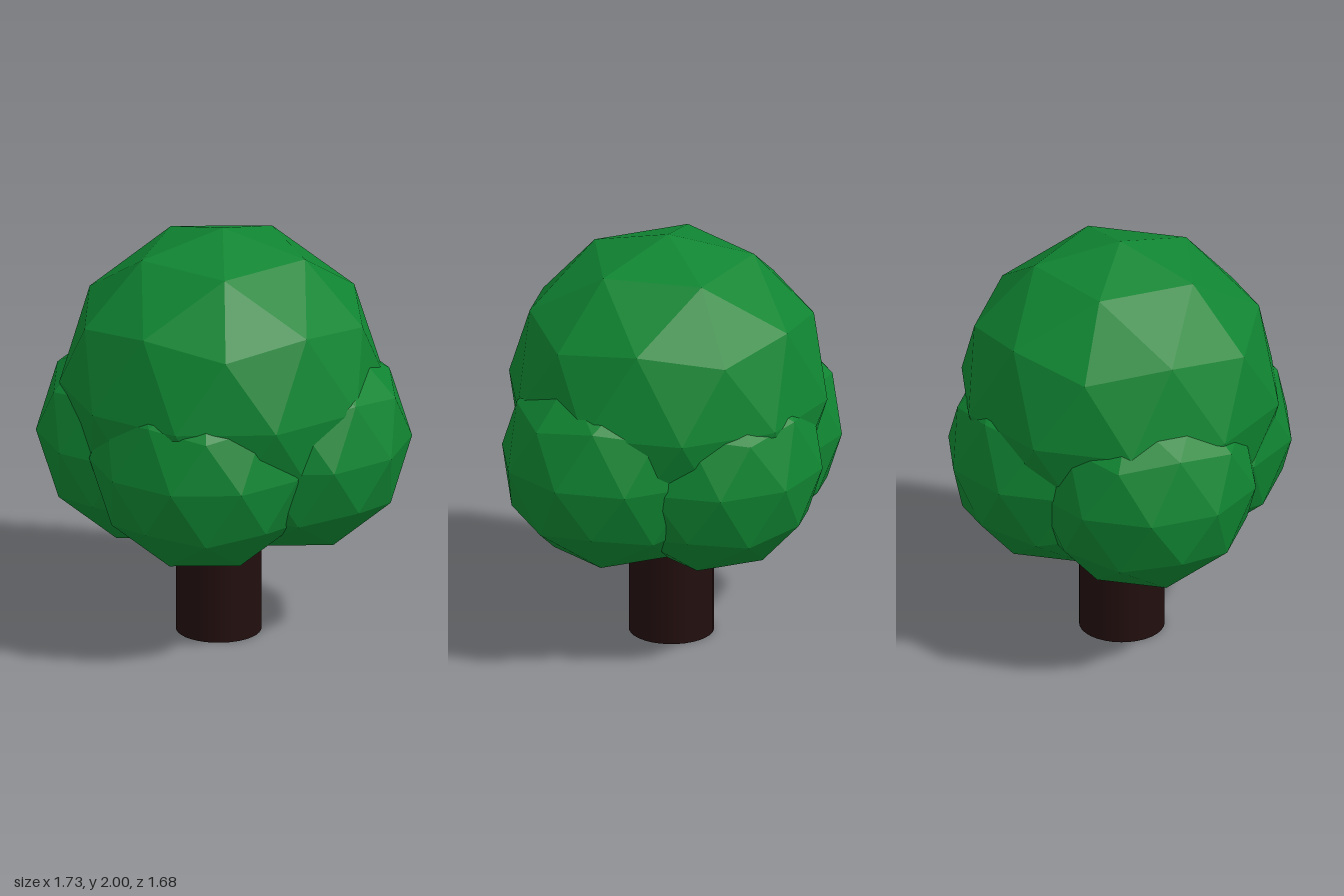
import * as THREE from 'three';

const leafMaterial = new THREE.MeshStandardMaterial({ color: 0x108532, flatShading: true });
const barkMaterial = new THREE.MeshStandardMaterial({ color: 0x220e0e });

// Low-poly leaf ball with one corner pointing straight up
function leafBall(name, radius, x, y, z) {
  const geometry = new THREE.IcosahedronGeometry(radius, 1);
  geometry.rotateZ(-Math.atan(2 / (1 + Math.sqrt(5))));
  const mesh = new THREE.Mesh(geometry, leafMaterial);
  mesh.name = name;
  mesh.position.set(x, y, z);
  return mesh;
}

export function createModel() {
  const tree = new THREE.Group();
  tree.name = 'tree';

  // Round trunk, running up into the foliage
  const trunk = new THREE.Mesh(new THREE.CylinderGeometry(0.2, 0.2, 1, 32), barkMaterial);
  trunk.name = 'trunk';
  trunk.position.set(-0.02, 0.5, 0);
  tree.add(trunk);

  // Large crown with four smaller clumps around its base
  tree.add(
    leafBall('crown', 0.763, 0, 1.237, 0),
    leafBall('leftClump', 0.54, 0.352, 0.99, -0.025),
    leafBall('rightClump', 0.54, -0.355, 0.948, -0.025),
    leafBall('frontClump', 0.536, 0, 0.963, 0.302),
    leafBall('backClump', 0.536, 0, 0.963, -0.304),
  );
  return tree;
}
